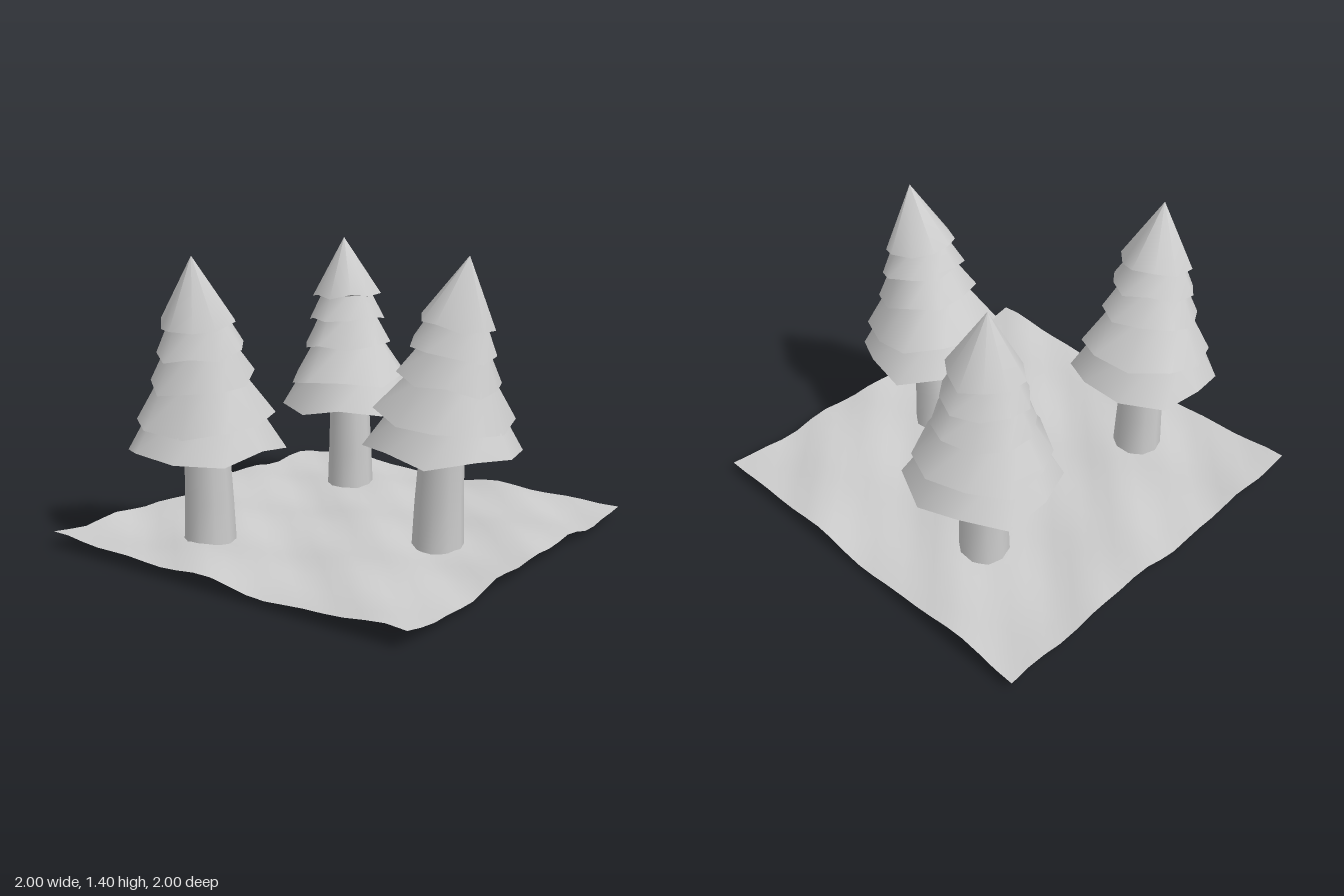
import * as THREE from 'three';
import { toCreasedNormals } from 'three/addons/utils/BufferGeometryUtils.js';

const SIDES = 10;
const material = new THREE.MeshStandardMaterial({ color: 0xcccccc, side: THREE.DoubleSide });

// Foliage tiers from the bottom up: rim radius, rim height, neck radius, neck height,
// sideways lean of rim and neck, and tilt (rise per unit away from the lean).
const TIERS = [
  { r: 0.355, y: 0.52, neckR: 0.24, neckY: 0.71, lean: 0.02, neckLean: 0.035, tilt: 0.03 },
  { r: 0.315, y: 0.66, neckR: 0.185, neckY: 0.86, lean: 0.025, neckLean: 0.06, tilt: 0.12 },
  { r: 0.24, y: 0.84, neckR: 0.155, neckY: 0.99, lean: 0.05, neckLean: 0.075, tilt: 0.18 },
  { r: 0.205, y: 0.98, neckR: 0.14, neckY: 1.1, lean: 0.07, neckLean: 0.085, tilt: 0.18 },
  { r: 0.175, y: 1.1, neckR: 0, neckY: 1.4, lean: 0.085, neckLean: 0.14, tilt: 0.18 },
];

function mesh(name, geometry) {
  const m = new THREE.Mesh(geometry, material);
  m.name = name;
  return m;
}

// One slightly irregular, tilted ring; returns the point at side i.
function ring(radius, y, lean, tilt, wobble, seed) {
  return (i) => {
    const k = i % SIDES;
    const a = (k / SIDES) * Math.PI * 2 + seed * 0.7;
    const r = radius * (1 + wobble * Math.sin(k * 2.4 + seed * 1.9));
    const z = Math.cos(a) * r;
    const dy = -tilt * z + wobble * radius * 1.1 * Math.sin(k * 3.7 + seed * 2.3);
    return new THREE.Vector3(Math.sin(a) * r, y + dy, z + lean);
  };
}

// Open band of faces from a lower ring to an upper ring.
function band(lower, upper) {
  const g = new THREE.CylinderGeometry(1, 1, 1, SIDES, 1, true);
  const p = g.attributes.position;
  for (let i = 0; i <= SIDES; i++) {
    const t = upper(i), b = lower(i);
    p.setXYZ(i, t.x, t.y, t.z);
    p.setXYZ(i + SIDES + 1, b.x, b.y, b.z);
  }
  g.deleteAttribute('normal');
  g.deleteAttribute('uv');
  return toCreasedNormals(g, 1.1);
}

function createTree(name, x, z, heading, bend, seed) {
  const tree = new THREE.Group();
  tree.name = name;

  // Tapered trunk, gently bent toward the lean
  const trunk = new THREE.CylinderGeometry(0.095, 0.125, 0.75, SIDES, 3);
  trunk.translate(0, 0.375, 0);
  const p = trunk.attributes.position;
  for (let i = 0; i < p.count; i++) p.setZ(i, p.getZ(i) + 0.06 * bend * p.getY(i) ** 2);
  trunk.computeVertexNormals();
  tree.add(mesh('trunk', toCreasedNormals(trunk, 0.9)));

  // Stacked skirts, each joined to the neck of the one below by an underside
  let neck = null;
  TIERS.forEach((t, n) => {
    const rim = ring(t.r, t.y, t.lean * bend, t.tilt * bend, 0.055, seed + n);
    const top = ring(t.neckR, t.neckY, t.neckLean * bend, t.tilt * bend, 0.02, seed + n);
    tree.add(mesh('foliageTier' + (n + 1), band(rim, top)));
    if (neck) tree.add(mesh('foliageUnderside' + (n + 1), band(neck, rim)));
    neck = ring(t.neckR, t.neckY, t.neckLean * bend, t.tilt * bend, 0.02, seed + n + 1);
  });

  tree.position.set(x, 0, z);
  tree.rotation.y = heading;
  return tree;
}

// Thin uneven ground sheet
function createGround() {
  const g = new THREE.PlaneGeometry(2, 2, 20, 20);
  g.rotateX(-Math.PI / 2);
  const p = g.attributes.position;
  for (let i = 0; i < p.count; i++) {
    const x = p.getX(i), z = p.getZ(i);
    const y = 0.055
      + 0.014 * Math.sin(5 * x + 7 * z + 0.6)
      + 0.011 * Math.sin(9 * x - 4 * z + 1.9)
      + 0.008 * Math.sin(17 * x + 13 * z);
    p.setY(i, y);
  }
  g.computeVertexNormals();
  return mesh('ground', g);
}

export function createModel() {
  const model = new THREE.Group();
  model.name = 'pineGrove';
  model.add(
    createGround(),
    createTree('frontTree', 0, 0.525, 0, 1, 0),
    createTree('backRightTree', -0.595, -0.365, -1.25, 0.95, 0),
    createTree('backLeftTree', 0.525, -0.355, Math.PI, 0.3, 2),
  );
  return model;
}
